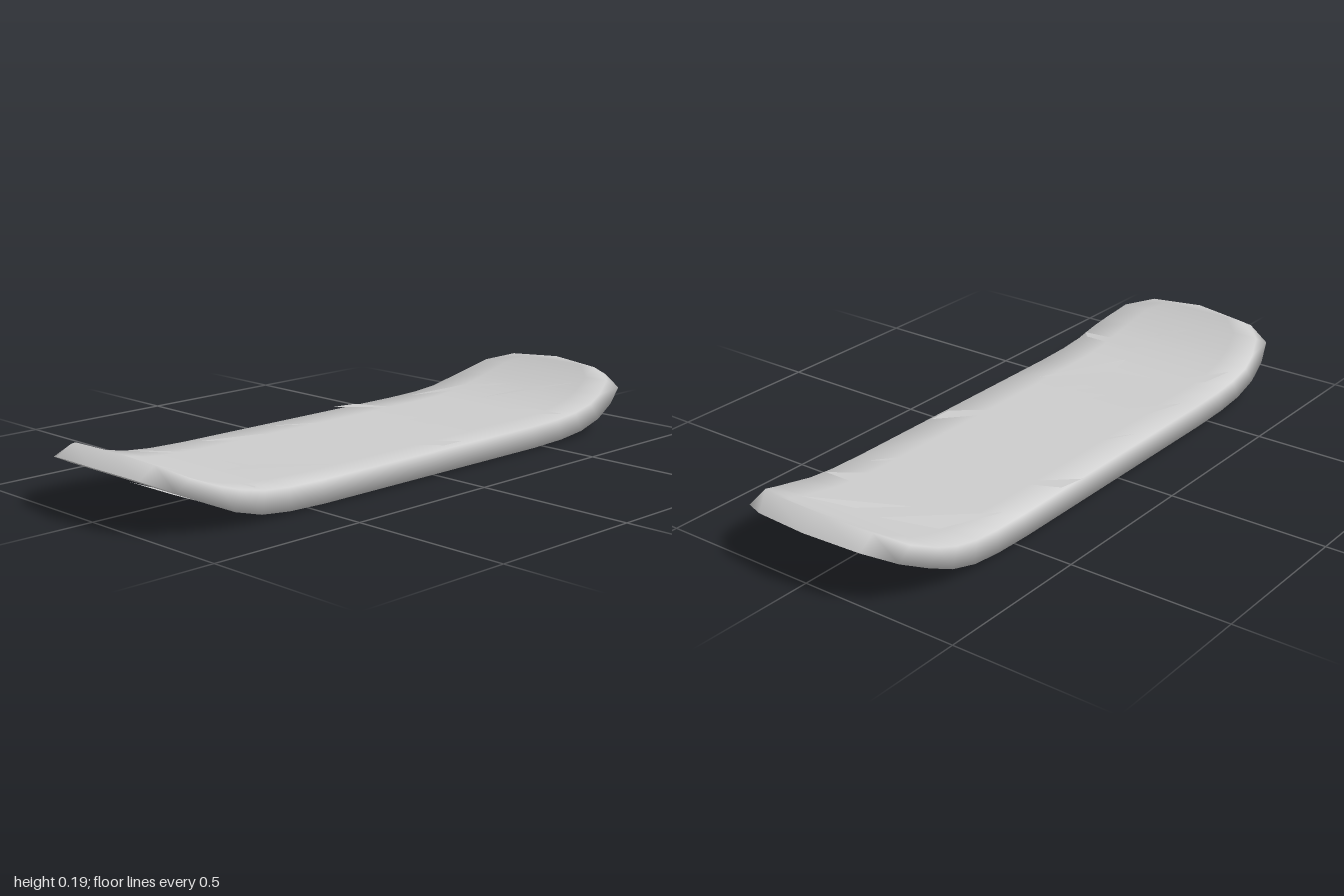
import * as THREE from 'three';
import { mergeVertices } from 'three/addons/utils/BufferGeometryUtils.js';

// Half of the board, centre to tip: bottom x, half width, bottom y, top x, top y
const HALF = [
  [0.45, 0.315, 0.005, 0.45, 0.07],
  [0.58, 0.315, 0.009, 0.57, 0.073],
  [0.68, 0.315, 0.02, 0.66, 0.081],
  [0.77, 0.313, 0.045, 0.74, 0.098],
  [0.85, 0.3, 0.08, 0.8, 0.116],
  [0.93, 0.27, 0.118, 0.875, 0.147],
  [0.98, 0.18, 0.142, 0.922, 0.174],
  [1, 0, 0.15, 0.94, 0.185],
];
const TOP_INSET = 0.97;
const ACROSS = 6;

// Height of the top or bottom surface at x
function heightAt(x, xCol, yCol) {
  const ax = Math.abs(x);
  if (ax <= HALF[0][xCol]) return HALF[0][yCol];
  for (let i = 1; i < HALF.length; i++) {
    const a = HALF[i - 1], b = HALF[i];
    if (ax <= b[xCol]) {
      return THREE.MathUtils.mapLinear(ax, a[xCol], b[xCol], a[yCol], b[yCol]);
    }
  }
  return HALF[HALF.length - 1][yCol];
}
const bottomY = (x) => heightAt(x, 0, 2);
const topY = (x) => heightAt(x, 3, 4);

// Curved deck: closed cross-sections lofted from end to end
function deckGeometry() {
  const mirrored = HALF.map(([x, w, yb, xt, yt]) => [-x, w, yb, -xt, yt]).reverse();
  const middle = [-0.22, 0, 0.22].map((x) => [x, 0.315, 0.005, x, 0.07]);
  const stations = [...mirrored, ...middle, ...HALF];
  const positions = [], index = [];
  for (const [x, w, yb, xt, yt] of stations) {
    for (let j = 0; j <= ACROSS; j++) {
      positions.push(x, yb, w * (2 * j / ACROSS - 1));
    }
    for (let j = ACROSS; j >= 0; j--) {
      positions.push(xt, yt, TOP_INSET * w * (2 * j / ACROSS - 1));
    }
  }
  const ring = 2 * (ACROSS + 1);
  for (let i = 0; i < stations.length - 1; i++) {
    for (let j = 0; j < ring; j++) {
      const a = i * ring + j, b = i * ring + (j + 1) % ring;
      index.push(a, a + ring, b, b, a + ring, b + ring);
    }
  }
  let geometry = new THREE.BufferGeometry();
  geometry.setAttribute('position', new THREE.Float32BufferAttribute(positions, 3));
  geometry.setIndex(index);
  geometry = mergeVertices(geometry, 1e-4);
  geometry.computeVertexNormals();
  return geometry;
}

// Jagged flat patches on the top, as x, z corners
const TOP_PATCHES = [
  [[-0.69, -0.27], [-0.6, -0.24], [-0.49, -0.13], [-0.49, 0.06], [-0.32, 0.22], [-0.6, 0.07], [-0.53, 0.06], [-0.53, -0.13]],
  [[-0.54, -0.23], [-0.36, -0.06], [-0.26, 0.01], [-0.26, 0.07], [-0.2, 0.2], [-0.36, 0.06], [-0.36, 0]],
  [[-0.15, -0.27], [0.1, -0.13], [0.12, 0.06], [0.2, 0.21], [0.05, 0.06], [0.03, -0.14]],
  [[-0.42, -0.26], [-0.23, -0.2], [-0.15, -0.04]],
  [[-0.84, -0.04], [-0.76, 0.07], [-0.8, 0.05]],
  [[-0.71, 0.06], [-0.67, 0.1], [-0.67, 0.28], [-0.69, 0.3]],
  [[-0.14, 0.04], [0.14, 0.29], [0.06, 0.29]],
  [[0.22, -0.17], [0.31, 0.05], [0.47, 0.25], [0.23, 0.06]],
  [[0.38, -0.14], [0.47, 0.06], [0.61, 0.18], [0.61, 0.29], [0.43, 0.06]],
  [[0.49, -0.26], [0.69, -0.2], [0.76, -0.05]],
  [[0.62, -0.05], [0.76, 0.04], [0.83, 0.17]],
  [[0.19, -0.315], [0.27, -0.3], [0.34, -0.15]],
];

// Spines of the jagged patches underneath: tail, bend, tip
const BOTTOM_SPINES = [
  [[0.82, 0.21], [0.74, 0.08], [0.66, -0.05]],
  [[0.7, -0.04], [0.66, -0.17], [0.52, -0.2]],
  [[0.42, -0.16], [0.38, -0.26], [0.28, -0.3]],
  [[0.65, 0.27], [0.6, 0.11], [0.44, -0.14]],
  [[0.5, 0.25], [0.38, -0.06], [0.28, -0.2]],
  [[0.35, 0.05], [0.15, -0.08], [0.02, -0.28]],
  [[0.33, 0.29], [0.2, 0.06], [0.15, -0.08]],
  [[-0.06, -0.06], [-0.17, -0.22], [-0.36, -0.29]],
  [[0.12, 0.28], [-0.05, 0.08], [-0.16, -0.19]],
  [[-0.12, 0.22], [-0.25, -0.05], [-0.4, -0.25]],
  [[-0.33, 0.17], [-0.44, 0.04], [-0.6, -0.04]],
  [[-0.46, -0.17], [-0.54, -0.25], [-0.65, -0.28]],
  [[-0.72, 0.24], [-0.74, 0.03], [-0.8, -0.1]],
];

// Flat patch laid just off the curved surface
function patchGeometry(corners, onTop) {
  const shape = new THREE.Shape(corners.map(([x, z]) => new THREE.Vector2(x, onTop ? -z : z)));
  const geometry = new THREE.ShapeGeometry(shape);
  geometry.rotateX(onTop ? -Math.PI / 2 : Math.PI / 2);
  const p = geometry.attributes.position;
  for (let i = 0; i < p.count; i++) {
    const x = p.getX(i);
    p.setY(i, onTop ? topY(x) + 0.006 : bottomY(x) - 0.005);
  }
  geometry.computeVertexNormals();
  return geometry;
}

export function createModel() {
  const board = new THREE.Group();
  board.name = 'board';
  const material = new THREE.MeshStandardMaterial({ color: 0xcccccc });
  const patchMaterial = new THREE.MeshStandardMaterial({ color: 0xcccccc, side: THREE.DoubleSide });

  const deck = new THREE.Mesh(deckGeometry(), material);
  deck.name = 'deck';
  board.add(deck);

  const addPatches = (name, list, onTop) => {
    const group = new THREE.Group();
    group.name = name;
    for (const corners of list) {
      const mesh = new THREE.Mesh(patchGeometry(corners, onTop), patchMaterial);
      mesh.name = 'jaggedPatch';
      group.add(mesh);
    }
    board.add(group);
  };
  addPatches('topPatches', TOP_PATCHES, true);

  // Widen each spine at its bend into a thin splinter
  const splinters = BOTTOM_SPINES.map(([tail, bend, tip]) => [
    tail, [bend[0] + 0.025, bend[1] - 0.015], tip, [bend[0] - 0.025, bend[1] + 0.015],
  ]);
  addPatches('bottomPatches', splinters, false);
  return board;
}
